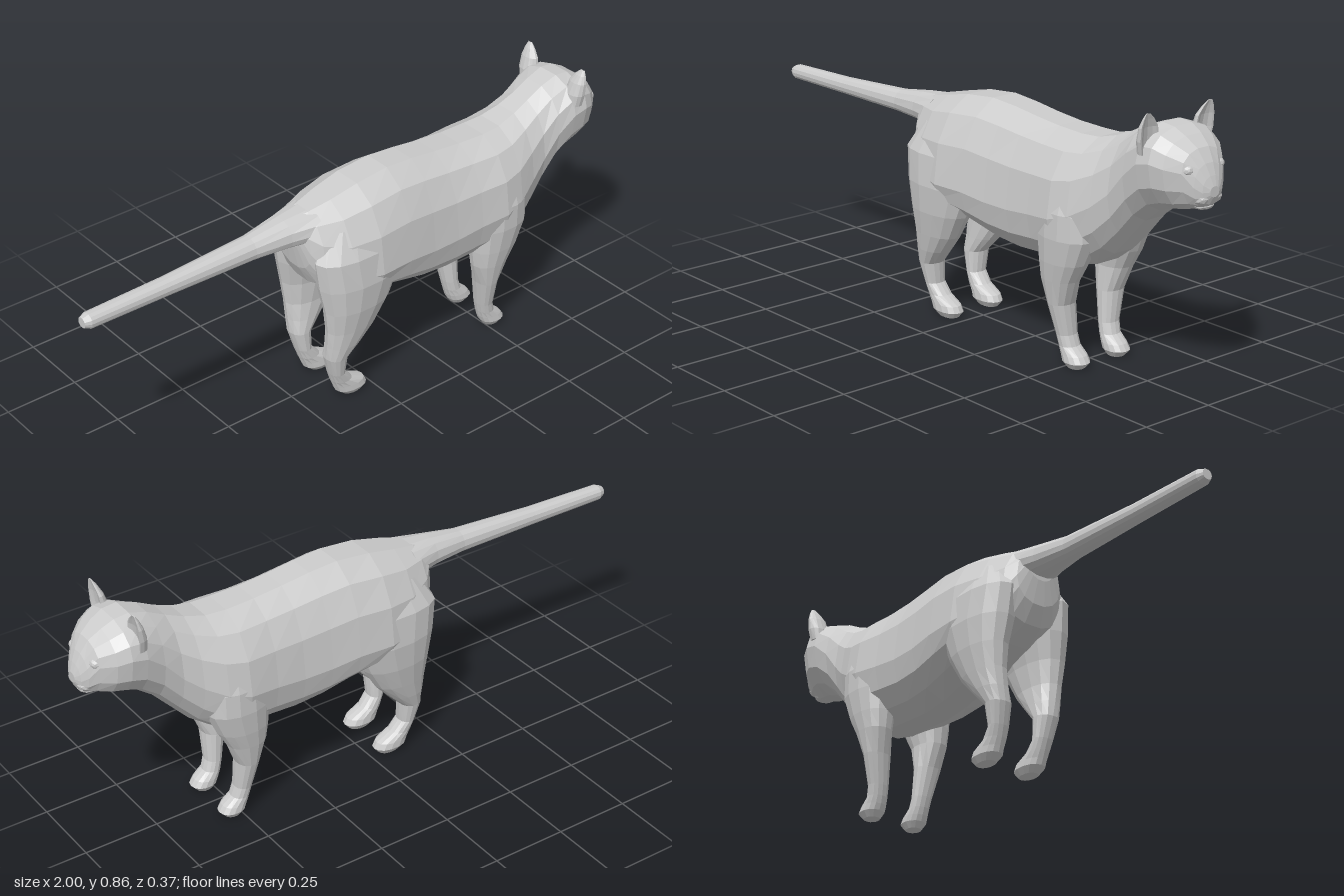
import * as THREE from 'three';

const material = new THREE.MeshStandardMaterial({ color: 0xcccccc, flatShading: true });
const SIDES = 14;

// Skin a list of rings (arrays of [x, y, z]) and close both ends
function loft(rings) {
  const pos = [], index = [], n = rings[0].length;
  rings.forEach(r => r.forEach(p => pos.push(...p)));
  for (let i = 0; i < rings.length - 1; i++) {
    for (let j = 0; j < n; j++) {
      const a = i * n + j, b = i * n + (j + 1) % n;
      index.push(a, a + n, b + n, a, b + n, b);
    }
  }
  [0, rings.length - 1].forEach((r, end) => {
    const c = pos.length / 3;
    pos.push(...[0, 1, 2].map(k => rings[r].reduce((s, p) => s + p[k] / n, 0)));
    for (let j = 0; j < n; j++) {
      const a = r * n + j, b = r * n + (j + 1) % n;
      if (end) index.push(c, b, a); else index.push(c, a, b);
    }
  });
  const g = new THREE.BufferGeometry();
  g.setAttribute('position', new THREE.Float32BufferAttribute(pos, 3));
  g.setIndex(index);
  g.computeVertexNormals();
  return g;
}

// Slightly squared circle, as [cos, sin] pairs
const round = (power = 0.9) => Array.from({ length: SIDES }, (_, j) => {
  const a = (j / SIDES) * Math.PI * 2;
  return [Math.cos(a), Math.sin(a)].map(v => Math.sign(v) * Math.abs(v) ** power);
});

// Upright slice: x, bottom, height of widest point, top, half width
const slice = ([x, bottom, wide, top, half]) =>
  round().map(([c, s]) => [x, wide + s * (s > 0 ? top - wide : wide - bottom), half * c]);

// Level slice: y, back x, front x, inner z, outer z; cup hollows the front
const level = (side, cup = 0) => ([y, back, front, inner, outer]) =>
  round().map(([c, s]) => [
    (back + front) / 2 + c * (front - back) / 2 - (c > 0 ? cup * c * c * (front - back) : 0),
    y,
    side * (inner + outer) / 2 + s * (outer - inner) / 2,
  ]);

const BODY = [
  [-0.245, 0.58, 0.63, 0.685, 0.05], [-0.23, 0.5, 0.58, 0.69, 0.085],
  [-0.2, 0.44, 0.53, 0.7, 0.12], [-0.12, 0.4, 0.48, 0.72, 0.165],
  [-0.02, 0.37, 0.47, 0.743, 0.185], [0.1, 0.335, 0.47, 0.755, 0.178],
  [0.2, 0.31, 0.46, 0.748, 0.172], [0.3, 0.3, 0.46, 0.736, 0.17],
  [0.4, 0.305, 0.47, 0.727, 0.173], [0.5, 0.31, 0.48, 0.724, 0.183],
  [0.57, 0.325, 0.5, 0.727, 0.17], [0.64, 0.375, 0.54, 0.745, 0.145],
  [0.7, 0.44, 0.59, 0.77, 0.13], [0.76, 0.505, 0.66, 0.8, 0.13],
];
const HEAD = [
  BODY[BODY.length - 1],
  [0.82, 0.55, 0.71, 0.82, 0.138], [0.87, 0.568, 0.72, 0.815, 0.137],
  [0.91, 0.575, 0.71, 0.795, 0.12], [0.95, 0.585, 0.7, 0.765, 0.085],
  [0.975, 0.592, 0.66, 0.725, 0.06], [0.99, 0.605, 0.645, 0.69, 0.04],
  [1.0, 0.628, 0.645, 0.66, 0.018],
];
const TAIL = [
  [-1, 0.607, 0.623, 0.64, 0.018], [-0.98, 0.598, 0.623, 0.648, 0.027],
  [-0.7, 0.598, 0.625, 0.655, 0.031], [-0.4, 0.598, 0.63, 0.672, 0.042],
  [-0.28, 0.596, 0.635, 0.69, 0.062], [-0.18, 0.59, 0.64, 0.7, 0.09],
];
const HIND_LEG = [
  [0, -0.11, -0.035, 0.058, 0.108], [0.02, -0.135, -0.018, 0.045, 0.121],
  [0.04, -0.143, -0.028, 0.047, 0.12], [0.065, -0.152, -0.08, 0.05, 0.118],
  [0.1, -0.163, -0.112, 0.052, 0.121], [0.17, -0.182, -0.108, 0.052, 0.135],
  [0.22, -0.183, -0.06, 0.055, 0.148], [0.28, -0.185, -0.005, 0.058, 0.16],
  [0.36, -0.195, 0.045, 0.05, 0.175], [0.45, -0.213, 0.09, 0.03, 0.183],
  [0.55, -0.225, 0.08, 0.03, 0.174], [0.64, -0.17, 0.04, 0.04, 0.13],
];
const FRONT_LEG = [
  [0, 0.5, 0.555, 0.058, 0.108], [0.02, 0.485, 0.573, 0.045, 0.122],
  [0.04, 0.477, 0.56, 0.046, 0.12], [0.065, 0.47, 0.528, 0.05, 0.118],
  [0.1, 0.462, 0.517, 0.052, 0.122], [0.2, 0.443, 0.517, 0.055, 0.147],
  [0.28, 0.42, 0.55, 0.06, 0.162], [0.34, 0.412, 0.585, 0.05, 0.172],
  [0.42, 0.405, 0.62, 0.03, 0.181], [0.5, 0.41, 0.62, 0.03, 0.18],
  [0.6, 0.43, 0.6, 0.04, 0.15],
];
const EAR = [
  [0.74, 0.81, 0.87, 0.085, 0.138], [0.78, 0.812, 0.873, 0.072, 0.147],
  [0.82, 0.825, 0.868, 0.08, 0.147], [0.845, 0.838, 0.864, 0.098, 0.14],
  [0.862, 0.85, 0.858, 0.116, 0.132],
];

export function createModel() {
  const cat = new THREE.Group();
  cat.name = 'cat';
  const add = (name, geometry) => {
    const mesh = new THREE.Mesh(geometry, material);
    mesh.name = name;
    cat.add(mesh);
    return mesh;
  };
  const ball = (name, x, y, z, sx, sy, sz) => {
    const mesh = add(name, new THREE.IcosahedronGeometry(1, 1));
    mesh.position.set(x, y, z);
    mesh.scale.set(sx, sy, sz);
  };

  add('body', loft(BODY.map(slice)));
  add('head', loft(HEAD.map(slice)));
  add('tail', loft(TAIL.map(slice)));

  // Paired parts; the animal faces +x, so its sides lie along z
  for (const side of [-1, 1]) {
    const tag = side < 0 ? 'Near' : 'Far';
    const label = part => part + (tag === 'Near' ? 'NegativeZ' : 'PositiveZ');
    add(label('hindLeg'), loft(HIND_LEG.map(level(side))));
    add(label('frontLeg'), loft(FRONT_LEG.map(level(side))));
    add(label('ear'), loft(EAR.map(level(side, 0.6))));
    ball(label('eye'), 0.953, 0.707, side * 0.06, 0.016, 0.017, 0.02);
    ball(label('muzzlePad'), 0.966, 0.624, side * 0.024, 0.03, 0.024, 0.028);
  }
  ball('nose', 0.988, 0.65, 0, 0.012, 0.012, 0.018);
  ball('chin', 0.955, 0.597, 0, 0.03, 0.014, 0.035);
  return cat;
}
